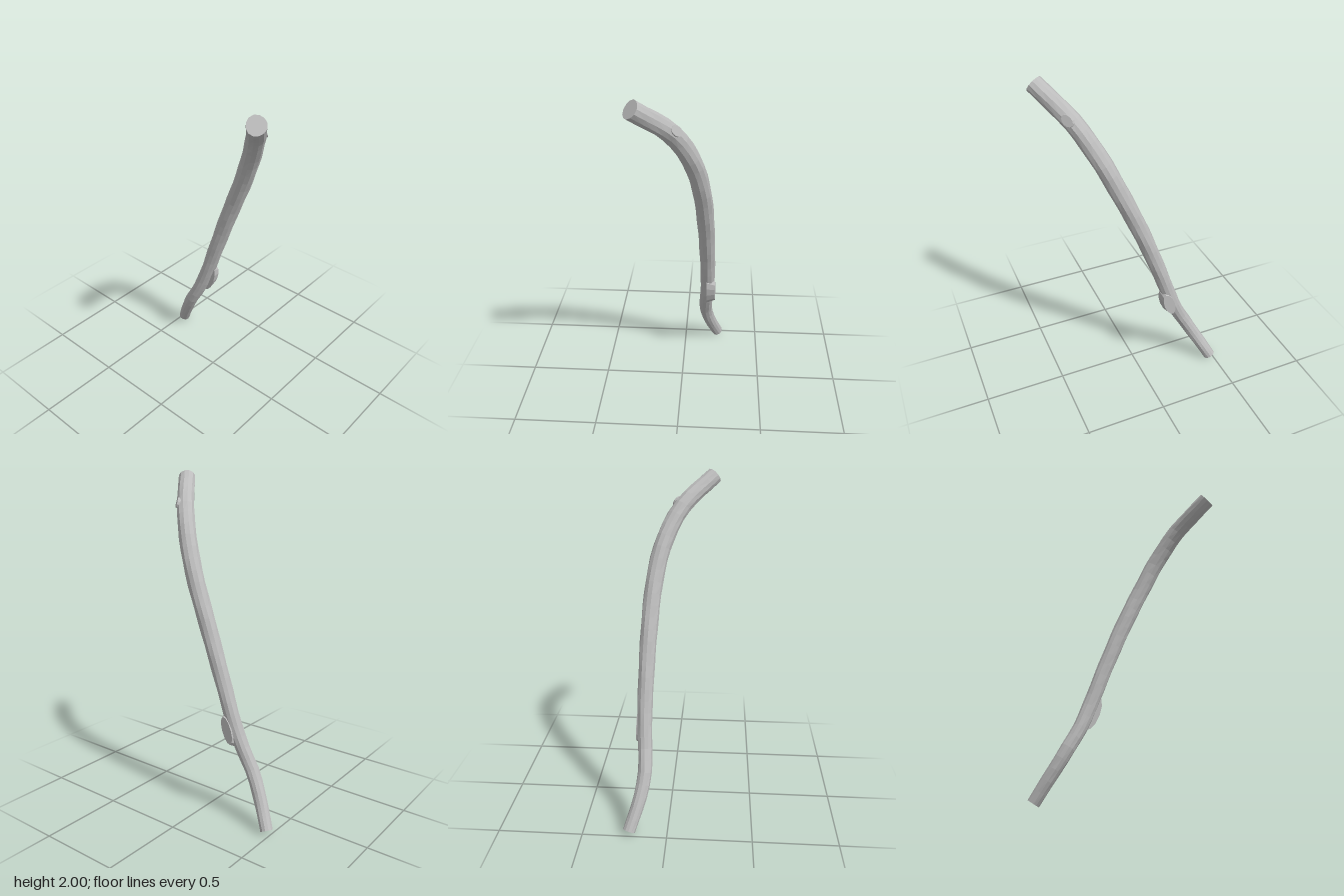
import * as THREE from 'three';

const SIDES = 12;

// Skin a list of rings (arrays of Vector3) and close both ends with flat caps
function loft(rings) {
  const pos = [], idx = [];
  const n = rings[0].length;
  rings.forEach(r => r.forEach(p => pos.push(p.x, p.y, p.z)));
  for (let i = 0; i < rings.length - 1; i++) {
    for (let j = 0; j < n; j++) {
      const a = i * n + j, b = i * n + (j + 1) % n;
      idx.push(a, b, b + n, a, b + n, a + n);
    }
  }
  const last = (rings.length - 1) * n;
  for (let j = 1; j < n - 1; j++) {
    idx.push(0, j + 1, j);
    idx.push(last, last + j, last + j + 1);
  }
  const g = new THREE.BufferGeometry();
  g.setAttribute('position', new THREE.Float32BufferAttribute(pos, 3));
  g.setIndex(idx);
  g.computeVertexNormals();
  return g;
}

// Elliptical ring around a centre, spanned by two unit axes (u x v points forward)
function ring(c, u, v, ru, rv, wobble = () => 1) {
  return Array.from({ length: SIDES }, (_, j) => {
    const a = j / SIDES * Math.PI * 2, k = wobble(a);
    return c.clone().addScaledVector(u, Math.cos(a) * ru * k).addScaledVector(v, Math.sin(a) * rv * k);
  });
}

// Short sawn-off side shoot: flared base, flat oval cut
function stub(base, normal, along, height, long, short) {
  const n = new THREE.Vector3(...normal).normalize();
  const u = new THREE.Vector3(...along);
  u.addScaledVector(n, -u.dot(n)).normalize();
  const v = n.clone().cross(u);
  const b = new THREE.Vector3(...base);
  return loft([[0, 1.35], [0.65, 1.12], [1, 1]].map(([t, s]) =>
    ring(b.clone().addScaledVector(n, height * t), u, v, long * s, short * s)));
}

export function createModel() {
  const model = new THREE.Group();
  model.name = 'branch';
  const wood = new THREE.MeshStandardMaterial({ color: 0xbcbcbc, flatShading: true });
  wood.name = 'grey wood';

  // Centre line with radius: x, y, z, r
  const path = [
    [-0.475, 0.022, -0.224, 0.037],
    [-0.385, 0.19, -0.168, 0.04],
    [-0.315, 0.32, -0.143, 0.042],
    [-0.25, 0.44, -0.146, 0.043],
    [-0.185, 0.6, -0.154, 0.045],
    [-0.115, 0.8, -0.152, 0.047],
    [0.005, 1.12, -0.14, 0.051],
    [0.125, 1.4, -0.114, 0.053],
    [0.215, 1.6, -0.066, 0.054],
    [0.32, 1.79, 0.035, 0.053],
    [0.463, 1.957, 0.222, 0.052]
  ];
  const curve = new THREE.CatmullRomCurve3(path.map(p => new THREE.Vector3(p[0], p[1], p[2])));
  const steps = 32;
  const frames = curve.computeFrenetFrames(steps, false);
  const radiusAt = y => {
    let i = 0;
    while (i < path.length - 2 && path[i + 1][1] < y) i++;
    const t = THREE.MathUtils.clamp((y - path[i][1]) / (path[i + 1][1] - path[i][1]), 0, 1);
    return THREE.MathUtils.lerp(path[i][3], path[i + 1][3], t);
  };

  // Main stem with a slightly uneven bark outline
  const rings = [];
  for (let i = 0; i <= steps; i++) {
    const c = curve.getPointAt(i / steps), r = radiusAt(c.y);
    rings.push(ring(c, frames.normals[i], frames.binormals[i], r, r,
      a => 1 + 0.025 * Math.sin(a * 3 + i * 1.7)));
  }
  const add = (name, geometry) => {
    const mesh = new THREE.Mesh(geometry, wood);
    mesh.name = name;
    model.add(mesh);
  };
  add('stem', loft(rings));

  // Cut side shoots
  add('lowerKnot', stub([-0.172, 0.555, -0.15], [0.05, 0, -1], [0.32, 0.95, 0], 0.053, 0.085, 0.034));
  add('upperKnot', stub([0.325, 1.803, 0.042], [0.65, 0.3, -0.68], [0.46, 0.54, 0.71], 0.056, 0.038, 0.026));

  return model;
}
